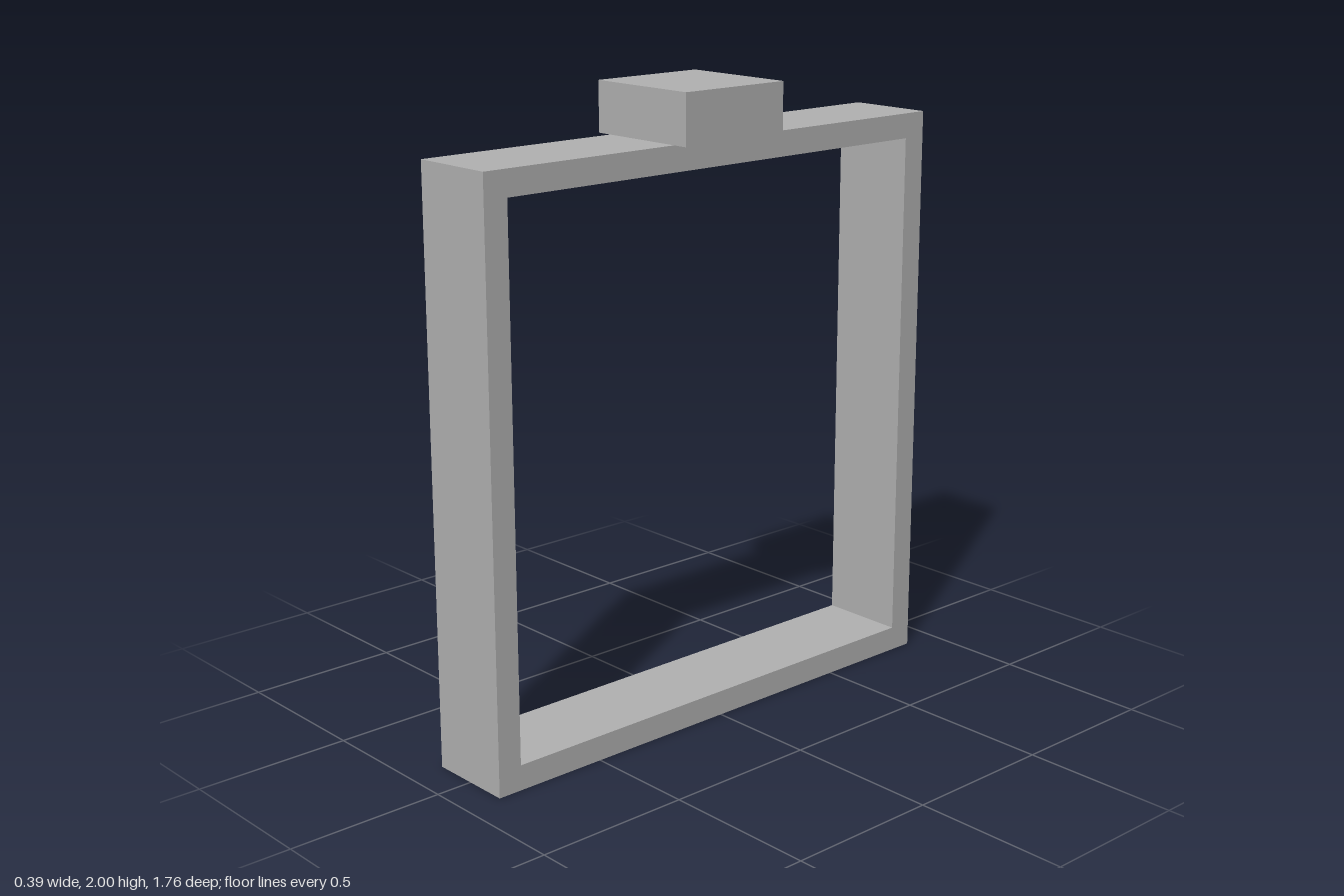
import * as THREE from 'three';

// Closed rectangle centred on x = 0, standing between y0 and y1
function rectangle(path, halfWidth, y0, y1) {
  path.moveTo(-halfWidth, y0);
  path.lineTo(halfWidth, y0);
  path.lineTo(halfWidth, y1);
  path.lineTo(-halfWidth, y1);
  path.closePath();
  return path;
}

export function createModel() {
  const model = new THREE.Group();
  model.name = 'framedStand';
  const grey = new THREE.MeshStandardMaterial({ color: 0xb2b2b2 });
  grey.name = 'grey';

  const height = 1.842, depth = 0.286, wall = 0.08, halfLength = 0.882;

  // Open rectangular frame, its opening running along x
  const outline = rectangle(new THREE.Shape(), halfLength, 0, height);
  outline.holes.push(rectangle(new THREE.Path(), halfLength - wall, wall, height - wall));
  const frameGeometry = new THREE.ExtrudeGeometry(outline, { depth, bevelEnabled: false });
  frameGeometry.translate(0, 0, -depth / 2).rotateY(Math.PI / 2);
  const frame = new THREE.Mesh(frameGeometry, grey);
  frame.name = 'frame';
  model.add(frame);

  // Square block resting on the middle of the top bar
  const blockHeight = 2 - height;
  const block = new THREE.Mesh(new THREE.BoxGeometry(0.39, blockHeight, 0.39), grey);
  block.name = 'topBlock';
  block.position.y = height + blockHeight / 2;
  model.add(block);

  return model;
}
